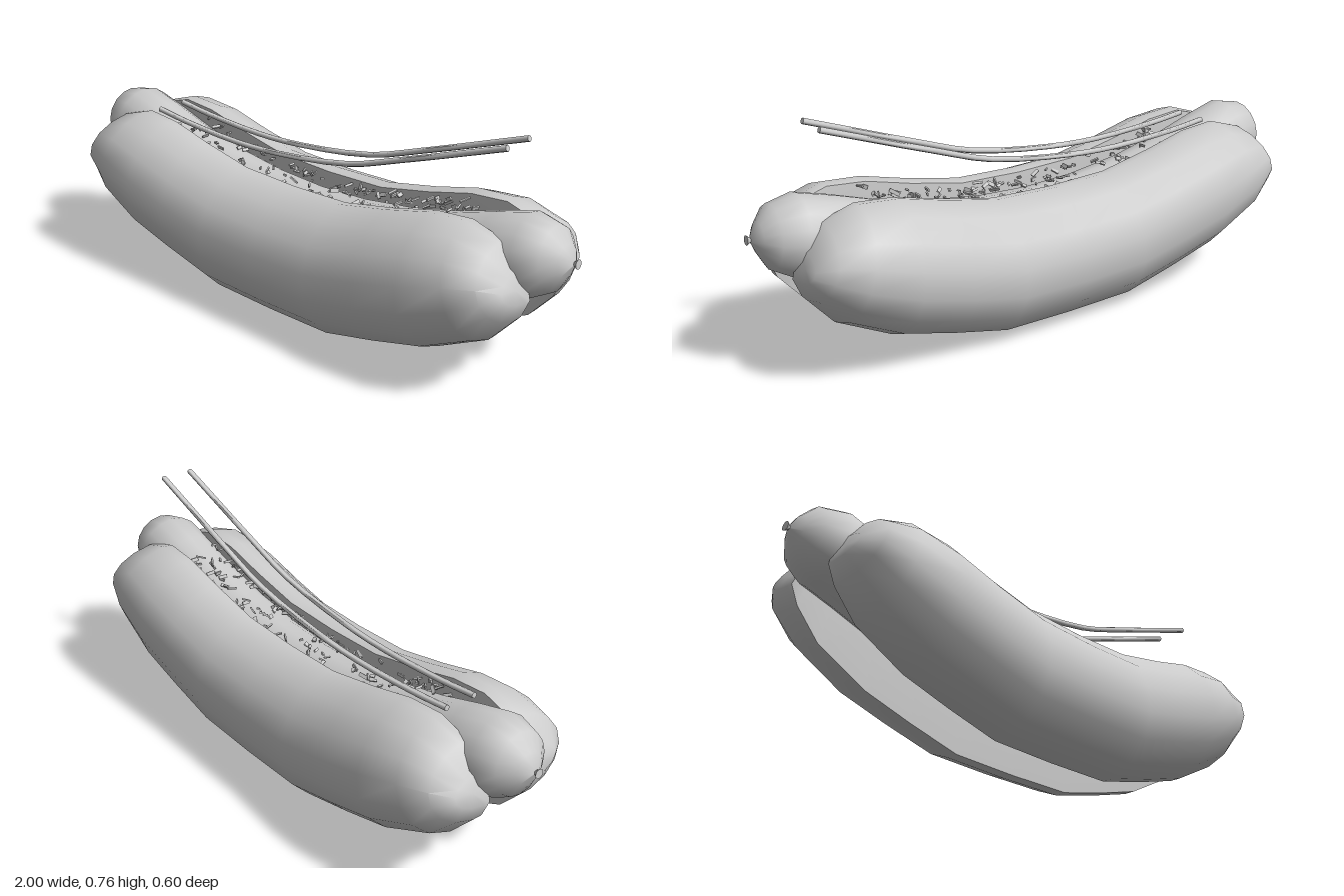
import * as THREE from 'three';
import { mergeGeometries, toCreasedNormals } from 'three/addons/utils/BufferGeometryUtils.js';

const grey = new THREE.MeshStandardMaterial({ color: 0xcccccc, side: THREE.DoubleSide });

// Skin a list of closed rings (running along +x) and cap both ends with fans.
function loft(rings, crease) {
  const n = rings[0].length, last = rings.length - 1;
  const pos = rings.flat(), index = [];
  for (let i = 0; i < last; i++) {
    for (let j = 0; j < n; j++) {
      const k = (j + 1) % n;
      const a = i * n + j, b = a + n, c = i * n + k, d = c + n;
      index.push(a, c, b, b, c, d);
    }
  }
  for (const i of [0, last]) {
    const centre = new THREE.Vector3();
    rings[i].forEach((p) => centre.addScaledVector(p, 1 / n));
    const m = pos.push(centre) - 1;
    for (let j = 0; j < n; j++) {
      const a = i * n + j, b = i * n + (j + 1) % n;
      if (i === 0) index.push(m, b, a); else index.push(m, a, b);
    }
  }
  const g = new THREE.BufferGeometry().setFromPoints(pos);
  g.setIndex(index);
  return toCreasedNormals(g, crease);
}

// Round body whose [x, y, radius] stations lie in the xy plane.
function roundBody(stations, sides, crease) {
  const rings = stations.map(([x, y, r], i) => {
    const p = stations[Math.max(i - 1, 0)], q = stations[Math.min(i + 1, stations.length - 1)];
    const t = Math.atan2(q[1] - p[1], q[0] - p[0]);
    return Array.from({ length: sides }, (_, j) => {
      const a = (j / sides) * Math.PI * 2, up = Math.cos(a) * r;
      return new THREE.Vector3(x - up * Math.sin(t), y + up * Math.cos(t), Math.sin(a) * r);
    });
  });
  return loft(rings, crease);
}

// Repeat stations from the middle outwards on the -x side.
const mirrorX = (half, flip) => [...half.slice(1).reverse().map(flip), ...half];

// Half bun: top point, bottom point and depth at each station.
function bunGeometry() {
  const half = [
    [0, 0.44, 0, 0, 0.225],
    [0.22, 0.447, 0.25, 0.004, 0.225],
    [0.41, 0.485, 0.44, 0.05, 0.225],
    [0.57, 0.525, 0.62, 0.1, 0.225],
    [0.7, 0.535, 0.8, 0.19, 0.21],
    [0.81, 0.5, 0.88, 0.28, 0.18],
    [0.87, 0.43, 0.905, 0.34, 0.12],
  ];
  const stations = mirrorX(half, ([a, b, c, d, e]) => [-a, b, -c, d, e]);
  const rings = stations.map(([tx, ty, bx, by, depth]) => {
    const at = (f, z) => new THREE.Vector3(
      THREE.MathUtils.lerp(bx, tx, f), THREE.MathUtils.lerp(by, ty, f), z);
    const ring = [at(0.985, 0.085)];
    for (let k = 0; k < 8; k++) {
      const a = (k + 0.5) * Math.PI / 8;
      ring.push(at(0.5 + 0.5 * Math.cos(a) / Math.cos(Math.PI / 16), 0.08 + depth * Math.sin(a)));
    }
    // cut face, bulging a little towards the sausage
    ring.push(at(0, 0.083), at(0.55, 0.071));
    return ring;
  });
  return loft(rings, 0.95);
}

const sausageY = (x) => 0.277 + 0.235 * x * x;

export function createModel() {
  const model = new THREE.Group();
  const add = (name, geometry, z = 0) => {
    const mesh = new THREE.Mesh(geometry, grey);
    mesh.name = name;
    mesh.position.z = z;
    model.add(mesh);
    return mesh;
  };

  // Two bun halves
  const bun = bunGeometry();
  add('frontBun', bun);
  add('backBun', bun).rotation.y = Math.PI;

  // Sausage with pinched ends and little knots
  const half = [0, 0.2, 0.4, 0.6, 0.75].map((x) => [x, sausageY(x), 0.125]);
  half.push([0.86, 0.44, 0.125], [0.93, 0.448, 0.098], [0.965, 0.452, 0.05],
    [0.988, 0.453, 0.007], [1, 0.454, 0.015]);
  add('sausage', roundBody(mirrorX(half, ([x, y, r]) => [-x, y, r]), 16, 1.2));

  // Two long sauce strands rising towards one end
  const path = new THREE.CatmullRomCurve3([
    [-0.69, 0.53], [-0.55, 0.515], [-0.3, 0.503], [-0.1, 0.512], [0.2, 0.555], [0.4, 0.62], [0.78, 0.755],
  ].map(([x, y]) => new THREE.Vector3(x, y, 0)));
  const strand = roundBody(path.getPoints(18).map((p) => [p.x, p.y, 0.0095]), 8, 1);
  add('frontSauceStrand', strand, 0.054);
  add('backSauceStrand', strand, -0.054);

  // Chopped relish scattered on the sausage along both seams
  let seed = 7;
  const rand = (lo, hi) => {
    seed = (seed * 16807) % 2147483647;
    return lo + (hi - lo) * seed / 2147483647;
  };
  const bits = [];
  for (let i = 0; i < 150; i++) {
    const x = rand(-0.58, 0.62);
    const z = (i % 2 ? 1 : -1) * rand(0.025, 0.085);
    const bit = new THREE.BoxGeometry(rand(0.012, 0.035), rand(0.006, 0.014), 0.005);
    bit.rotateX(rand(-1.2, 1.2)).rotateY(rand(0, Math.PI)).rotateZ(rand(-0.7, 0.7));
    bit.translate(x, sausageY(x) + Math.sqrt(0.0156 - z * z) + rand(0.005, 0.045), z);
    bits.push(bit);
  }
  add('relish', mergeGeometries(bits));
  return model;
}
